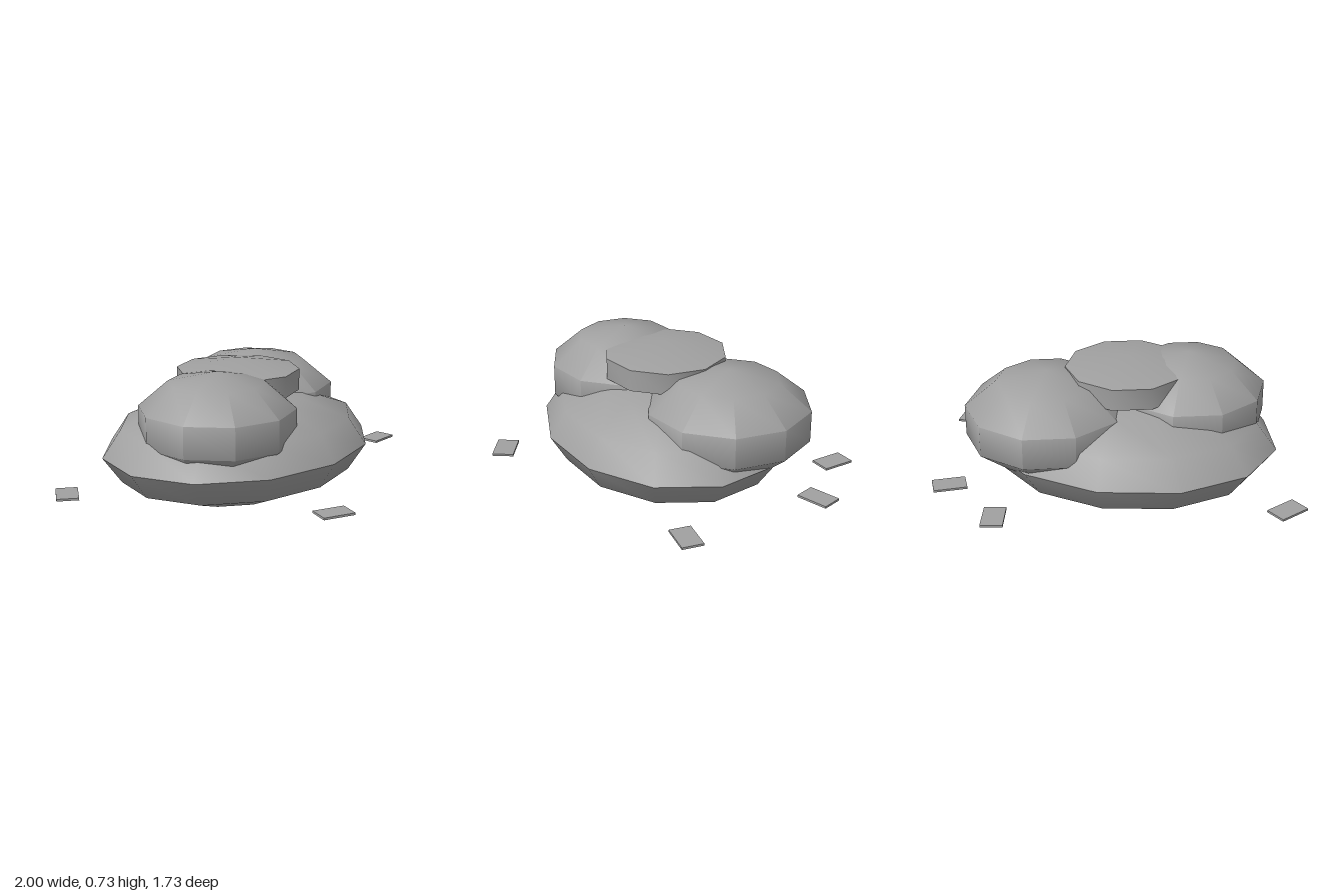
import * as THREE from 'three';
import { toCreasedNormals } from 'three/addons/utils/BufferGeometryUtils.js';

const stone = new THREE.MeshStandardMaterial({ color: 0xa0a0a0 });
stone.name = 'stone grey';

// Squashed low-sided boulder, smooth except at its sharp rims
function boulder(name, sides, rings, radii, position, turn = 0) {
  const sphere = new THREE.SphereGeometry(1, sides, rings);
  sphere.rotateY(turn);
  sphere.scale(...radii);
  const mesh = new THREE.Mesh(toCreasedNormals(sphere, THREE.MathUtils.degToRad(50)), stone);
  mesh.name = name;
  mesh.position.set(...position);
  return mesh;
}

export function createModel() {
  const group = new THREE.Group();
  group.name = 'rockPile';
  const turn = Math.PI / 10; // puts a corner on the z axis of ten-sided rocks

  group.add(
    boulder('baseRock', 12, 6, [0.78, 0.275, 0.625], [-0.02, 0.28, -0.035]),
    boulder('rightRock', 10, 5, [0.415, 0.26, 0.415], [-0.315, 0.465, 0.085], turn),
    boulder('leftRock', 10, 5, [0.437, 0.26, 0.442], [0.35, 0.43, -0.23], turn),
    boulder('capRock', 10, 3, [0.366, 0.11, 0.366], [-0.02, 0.62, -0.035], turn)
  );

  // Loose flat chips around the base: x, z and the direction of the long side
  const chips = [
    [0.47, -0.773, 0.035, 0.165],
    [0.788, -0.528, 0.15, -0.075],
    [0.912, 0.21, 1, 0],
    [-0.267, 0.774, 0.152, 0.068],
    [-0.905, -0.38, -0.105, 0.13]
  ];
  const chipShape = new THREE.BoxGeometry(0.169, 0.011, 0.11);
  chips.forEach(([x, z, dx, dz], i) => {
    const chip = new THREE.Mesh(chipShape, stone);
    chip.name = `stoneChip${i + 1}`;
    chip.position.set(x, 0.14, z);
    chip.rotation.y = Math.atan2(-dz, dx);
    group.add(chip);
  });

  return group;
}
